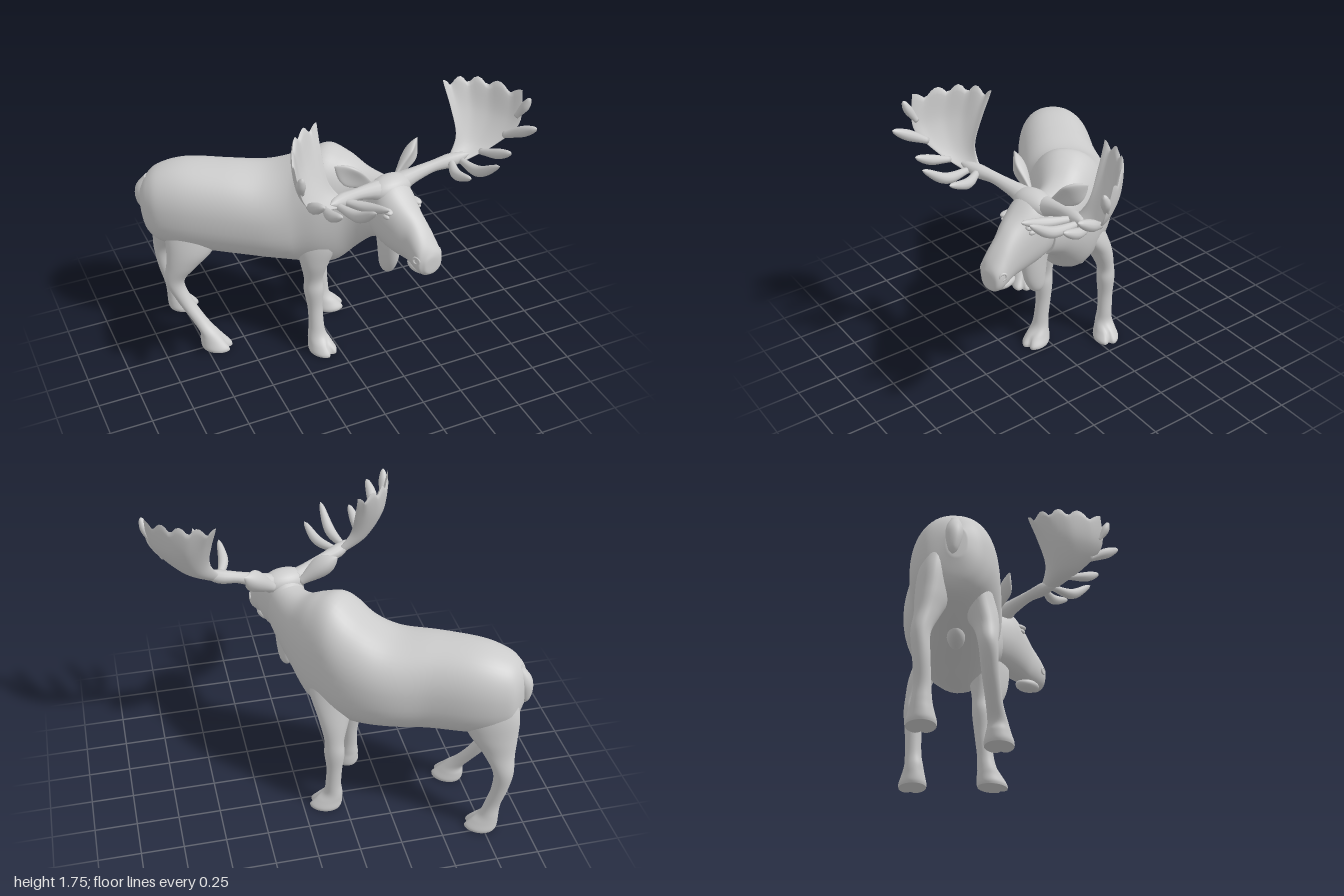
import * as THREE from 'three';

const V = (x, y, z) => new THREE.Vector3(x, y, z);
const material = new THREE.MeshStandardMaterial({ color: 0xcccccc, roughness: 0.8 });

// Closed skin over a list of rings, always wound outwards
function loft(name, rings, capped = true) {
  const n = rings[0].length, m = rings.length;
  const pts = rings.flat(), tri = [];
  for (let i = 0; i < m - 1; i++) for (let j = 0; j < n; j++) {
    const a = i * n + j, b = i * n + (j + 1) % n;
    tri.push([a, b, a + n], [b, b + n, a + n]);
  }
  if (capped) [0, m - 1].forEach((r, e) => {
    const c = pts.length;
    pts.push(rings[r].reduce((s, p) => s.add(p), V(0, 0, 0)).divideScalar(n));
    for (let j = 0; j < n; j++) {
      const a = r * n + j, b = r * n + (j + 1) % n;
      tri.push(e ? [a, b, c] : [b, a, c]);
    }
  });
  let volume = 0;
  for (const [a, b, c] of tri) volume += pts[a].dot(V(0, 0, 0).crossVectors(pts[b], pts[c]));
  if (volume < 0) tri.forEach(t => t.reverse());
  const g = new THREE.BufferGeometry().setFromPoints(pts);
  g.setIndex(tri.flat());
  g.computeVertexNormals();
  const mesh = new THREE.Mesh(g, material);
  mesh.name = name;
  return mesh;
}

// Catmull-Rom smoothing of rows of numbers
function smooth(rows, steps = 6) {
  const out = [], last = rows.length - 1;
  for (let k = 0; k <= last * steps; k++) {
    const i = Math.min(Math.floor(k / steps), last - 1), t = k / steps - i;
    const [p, a, b, q] = [i - 1, i, i + 1, i + 2].map(j => rows[Math.max(0, Math.min(last, j))]);
    out.push(a.map((_, d) => a[d] + 0.5 * t * (b[d] - p[d] + t * (2 * p[d] - 5 * a[d] + 4 * b[d] - q[d]
      + t * (3 * (a[d] - b[d]) + q[d] - p[d])))));
  }
  return out;
}

// Ring around c with half axes A and B; notch dents the +A side, power < 1 makes it fuller
function ring(c, A, B, n, notch = 0, power = 1) {
  const full = v => Math.sign(v) * Math.abs(v) ** power;
  return Array.from({ length: n }, (_, j) => {
    const t = j / n * Math.PI * 2, d = Math.min(t, Math.PI * 2 - t);
    const k = 1 - notch * Math.exp(-((d / 0.22) ** 2));
    return c.clone().addScaledVector(A, full(Math.cos(t)) * k).addScaledVector(B, full(Math.sin(t)) * k);
  });
}

// Barrel from vertical rings: rows of x, z, top, bottom, half width
function barrel(name, rows) {
  const s = smooth(rows);
  return loft(name, s.map(([x, z, top, bottom, w], i) => {
    const p = s[Math.max(0, i - 1)], q = s[Math.min(s.length - 1, i + 1)];
    const side = V(q[1] - p[1], 0, p[0] - q[0]).normalize().multiplyScalar(w);
    return ring(V(x, (top + bottom) / 2, z), side, V(0, (top - bottom) / 2, 0), 48, 0, 0.88);
  }));
}

// Column of level rings: rows of x, y, z, half length along heading, half width, heading, notch
function column(name, rows) {
  return loft(name, smooth(rows).map(([x, y, z, a, b, heading, notch]) => {
    const f = V(Math.cos(heading), 0, Math.sin(heading));
    return ring(V(x, y, z), f.clone().multiplyScalar(a), V(-f.z, 0, f.x).multiplyScalar(b), 36, notch);
  }));
}

// Tapered round branch: points and radii along it
function branch(name, points, radii) {
  const n = 16, curve = new THREE.CatmullRomCurve3(points);
  const { normals, binormals } = curve.computeFrenetFrames(n);
  const r = smooth(radii.map(v => [v]), 10);
  return loft(name, normals.map((N, i) => {
    const f = i / n * (r.length - 1), k = Math.floor(f);
    const w = THREE.MathUtils.lerp(r[k][0], r[Math.min(k + 1, r.length - 1)][0], f - k)
      * Math.sqrt(Math.max(0.02, 1 - (i / n) ** 10));
    return ring(curve.getPoint(i / n), N.clone().multiplyScalar(w), binormals[i].clone().multiplyScalar(w), 12);
  }));
}

function blob(name, pos, scale, yaw = 0) {
  const m = new THREE.Mesh(new THREE.SphereGeometry(1, 24, 16), material);
  m.name = name;
  m.position.set(...pos);
  m.scale.set(...scale);
  m.rotation.y = yaw;
  return m;
}

// Leg from sizes (y, half length, half width) and x, z places, ending in a cloven hoof
function leg(name, sizes, places, heading, toe) {
  const rows = sizes.map(([y, a, b], i) => [places[i][0], y, places[i][1], a, b, heading, 0]);
  const [x, , z] = rows[rows.length - 1], dx = Math.cos(toe), dz = Math.sin(toe);
  [[0.025, 0.07, 0.08, 0.066, 0.15], [0.045, 0.03, 0.097, 0.078, 0.28], [0.05, 0.01, 0.095, 0.076, 0.28]]
    .forEach(([d, y, a, b, notch]) => rows.push([x + dx * d, y, z + dz * d, a, b, toe, notch]));
  return column(name, rows);
}

// Broad palmate antler, s = 1 left, -1 right
function antler(s) {
  const g = new THREE.Group();
  g.name = s > 0 ? 'leftAntler' : 'rightAntler';
  const P = ([x, y, z]) => V(x * s, y, z);
  g.add(branch('beam', [[0.07, 1.25, 0], [0.15, 1.28, 0.02], [0.27, 1.315, 0.05], [0.37, 1.33, 0.075],
    [0.47, 1.36, 0.115]].map(P), [0.06, 0.045, 0.034, 0.042, 0.03]));
  // palm: each row holds the inner, middle and outer point
  const palm = smooth([
    [0.36, 1.33, 0.06, 0.41, 1.325, 0.09, 0.45, 1.325, 0.12],
    [0.435, 1.45, 0.036, 0.525, 1.40, 0.07, 0.61, 1.41, 0.185],
    [0.436, 1.60, -0.025, 0.605, 1.56, 0.03, 0.72, 1.53, 0.24],
    [0.422, 1.72, -0.088, 0.61, 1.725, -0.01, 0.75, 1.69, 0.21]], 8);
  const n = 64;
  g.add(loft('palm', palm.map((r, i) => Array.from({ length: n }, (_, j) => {
    const a = j / n * Math.PI * 2, u = (1 - Math.cos(a)) / 2, v = i / (palm.length - 1);
    const w = [(1 - u) * (1 - 2 * u), 4 * u * (1 - u), u * (2 * u - 1)];
    const t = Math.sin(a) * (0.026 - 0.01 * v) * Math.sqrt(1 - v ** 10);
    const c = [0, 1, 2].map(d => w[0] * r[d] + w[1] * r[d + 3] + w[2] * r[d + 6]);
    const jag = 0.05 * v ** 5 * (Math.abs(Math.cos(u * Math.PI * 4)) - 0.4);
    return P([c[0] - 0.65 * t, c[1] + 0.25 * t + jag, c[2] + 0.75 * t]);
  })), false));
  // tines along the front edge
  [[[0.37, 1.33, 0.08], [0.30, 1.335, 0.22], [0.275, 1.39, 0.37], 0.03],
    [[0.42, 1.33, 0.11], [0.405, 1.35, 0.28], [0.41, 1.46, 0.44], 0.032],
    [[0.53, 1.37, 0.145], [0.56, 1.40, 0.26], [0.565, 1.45, 0.36], 0.03],
    [[0.655, 1.46, 0.195], [0.69, 1.52, 0.30], [0.70, 1.58, 0.40], 0.032],
    [[0.715, 1.57, 0.215], [0.74, 1.64, 0.25], [0.75, 1.70, 0.275], 0.026],
  ].forEach(([a, b, c, r]) => g.add(branch('tine', [a, b, c].map(P), [r * 0.6, r, r * 0.6])));
  return g;
}

// Cupped leaf-shaped ear
function ear(s) {
  const base = V(0.08 * s, 1.255, -0.05), tip = V(0.285 * s, 1.415, -0.12);
  const along = tip.clone().sub(base), face = V(0.55 * s, 0, 0.8);
  const across = along.clone().cross(face).normalize(), front = across.clone().cross(along).normalize();
  return loft(s > 0 ? 'leftEar' : 'rightEar', Array.from({ length: 21 }, (_, i) => {
    const t = i / 20, w = (0.024 * (1 - t) + 0.054 * Math.sin(Math.PI * t ** 1.3 * 0.9)) * Math.sqrt(1.001 - t ** 8);
    return ring(base.clone().addScaledVector(along, t), across.clone().multiplyScalar(w),
      front.clone().multiplyScalar(w * 0.5), 24).map(p => {
      const k = p.clone().sub(base).dot(across);
      return p.addScaledVector(front, k * k * 7);
    });
  }));
}

export function createModel() {
  const model = new THREE.Group();
  model.name = 'moose';

  // torso, hump and neck
  model.add(barrel('body', [
    [-0.965, -0.64, 1.02, 0.86, 0.05], [-0.93, -0.622, 1.10, 0.74, 0.14], [-0.86, -0.59, 1.16, 0.68, 0.195],
    [-0.72, -0.52, 1.2, 0.65, 0.232], [-0.5, -0.395, 1.198, 0.63, 0.25], [-0.29, -0.295, 1.19, 0.61, 0.275],
    [-0.13, -0.205, 1.26, 0.59, 0.265], [-0.015, -0.105, 1.36, 0.59, 0.235], [0.07, -0.02, 1.335, 0.63, 0.2],
    [0.14, 0.07, 1.28, 0.75, 0.155], [0.19, 0.16, 1.265, 0.85, 0.13], [0.225, 0.26, 1.27, 0.91, 0.115]]));
  model.add(branch('tail', [V(-0.91, 1.09, -0.62), V(-0.95, 1.0, -0.645), V(-0.96, 0.87, -0.66)], [0.03, 0.047, 0.028]));
  model.add(blob('bellyTuft', [-0.54, 0.65, -0.41], [0.11, 0.065, 0.05], -0.52));
  model.add(column('dewlap', [[0.98, 0.27, 0.11, 0.06], [0.88, 0.29, 0.09, 0.057], [0.78, 0.29, 0.075, 0.05],
    [0.71, 0.28, 0.057, 0.04], [0.675, 0.275, 0.033, 0.024], [0.667, 0.275, 0.005, 0.005]]
    .map(([y, z, a, b]) => [0.224, y, z, a, b, 1.4, 0])));

  // legs, shoulder or hip downwards
  const front = [[0.98, 0.1, 0.04], [0.8, 0.14, 0.075], [0.65, 0.092, 0.073], [0.52, 0.058, 0.054], [0.43, 0.061, 0.056],
    [0.31, 0.047, 0.047], [0.19, 0.047, 0.046], [0.12, 0.056, 0.053]];
  const hind = [[1.02, 0.12, 0.06], [0.84, 0.18, 0.09], [0.69, 0.145, 0.085], [0.58, 0.097, 0.065], [0.46, 0.06, 0.05],
    [0.33, 0.048, 0.045], [0.2, 0.046, 0.044], [0.12, 0.056, 0.053]];
  model.add(leg('rightFrontLeg', front, [[-0.08, -0.04], [-0.105, -0.02], [-0.115, -0.01], [-0.12, -0.015], [-0.12, -0.012],
    [-0.115, -0.005], [-0.115, 0.01], [-0.115, 0.02]], 0.75, 1.2));
  model.add(leg('leftFrontLeg', front, [[0.05, -0.21], [0.055, -0.245], [0.06, -0.305], [0.065, -0.345], [0.065, -0.35],
    [0.065, -0.35], [0.07, -0.345], [0.07, -0.34]], 0.6, 0.35));
  model.add(leg('rightHindLeg', hind, [[-0.74, -0.45], [-0.73, -0.415], [-0.765, -0.385], [-0.82, -0.385], [-0.87, -0.405],
    [-0.83, -0.37], [-0.765, -0.31], [-0.72, -0.265]], 0.52, 0.65));
  model.add(leg('leftHindLeg', hind, [[-0.77, -0.62], [-0.75, -0.645], [-0.775, -0.68], [-0.805, -0.72], [-0.83, -0.765],
    [-0.825, -0.755], [-0.80, -0.735], [-0.785, -0.73]], 0.52, 0.45));

  // head, turned to face the front
  const head = new THREE.Group();
  head.name = 'head';
  head.position.set(0.22, 0, 0.28);
  head.rotation.y = 0.175;
  head.add(barrel('skull', [[-0.005, -0.13, 1.24, 0.96, 0.085], [0, -0.06, 1.28, 0.93, 0.112], [0, 0.02, 1.31, 0.91, 0.128],
    [0, 0.08, 1.29, 0.9, 0.13], [0.005, 0.16, 1.23, 0.89, 0.112], [0.015, 0.24, 1.17, 0.88, 0.088],
    [0.02, 0.31, 1.1, 0.86, 0.085], [0.025, 0.36, 1.035, 0.855, 0.081], [0.025, 0.385, 0.99, 0.87, 0.055],
    [0.025, 0.39, 0.96, 0.9, 0.02]]));
  head.add(blob('forehead', [0, 1.25, 0.01], [0.135, 0.075, 0.085]));
  head.add(blob('chin', [0.02, 0.872, 0.28], [0.06, 0.037, 0.085]));
  for (const s of [1, -1]) {
    head.add(blob('brow', [0.09 * s, 1.185, 0.11], [0.03, 0.02, 0.055], 0.3 * s));
    head.add(blob('eye', [0.112 * s, 1.155, 0.13], [0.012, 0.014, 0.022], -0.25 * s));
    const nostril = new THREE.Mesh(new THREE.TorusGeometry(0.02, 0.007, 8, 20), material);
    nostril.name = 'nostril';
    nostril.position.set(0.022 + 0.08 * s, 0.965, 0.345);
    nostril.rotation.y = 1.2 * s;
    head.add(nostril, ear(s), antler(s));
  }
  model.add(head);
  return model;
}
